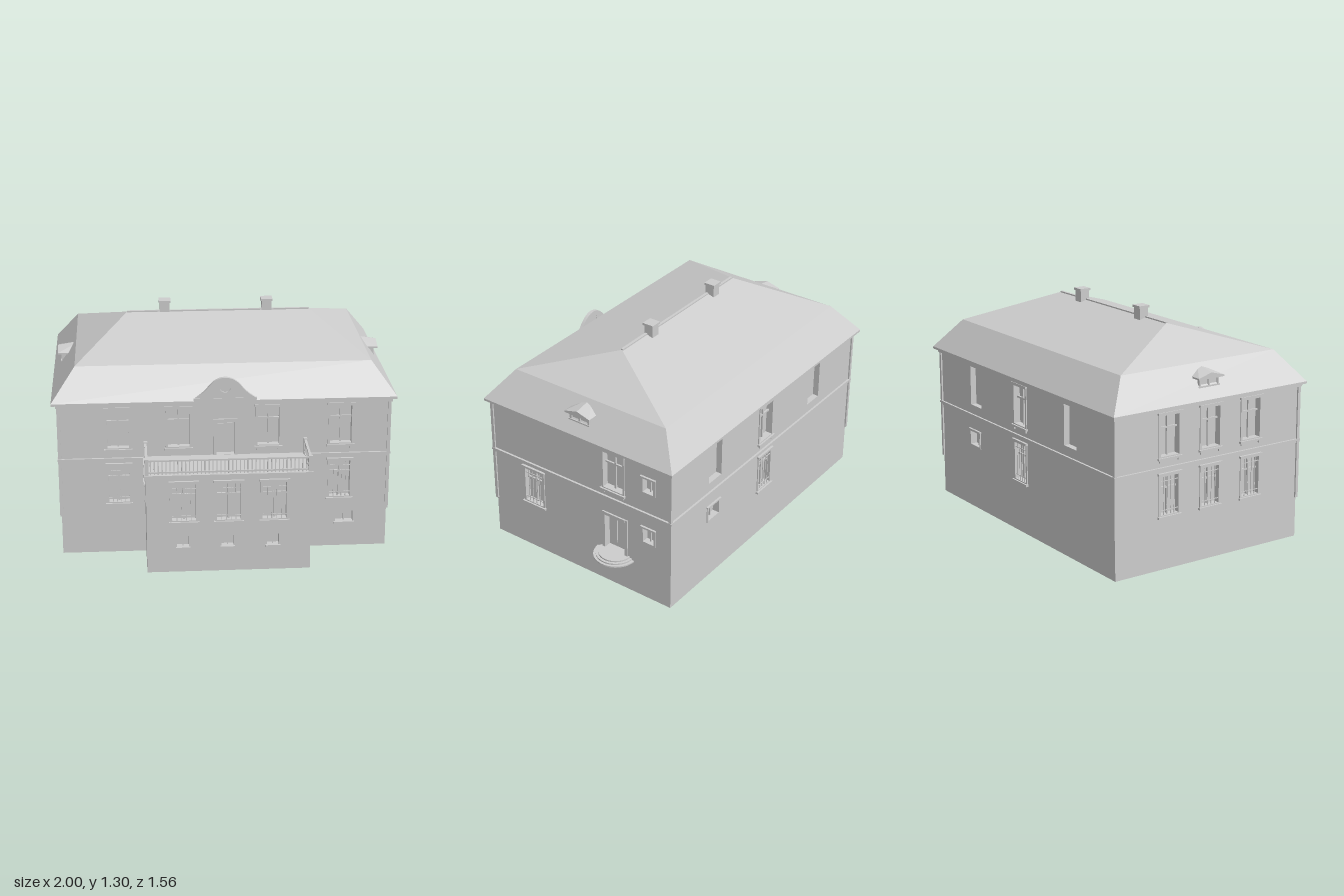
import * as THREE from 'three';
import { ConvexGeometry } from 'three/addons/geometries/ConvexGeometry.js';

const stone = new THREE.MeshStandardMaterial({ color: 0xcccccc });
stone.name = 'pale grey stone';

const W = { x0: -0.96, x1: 0.875, z0: -0.745, z1: 0.48 }; // main walls
const P = { x0: -0.49, x1: 0.41, z1: 0.765 };             // porch walls
const DEPTH = 0.035;                                      // wall thickness, recess depth

function add(parent, name, geometry) {
  const mesh = new THREE.Mesh(geometry, stone);
  mesh.name = name;
  parent.add(mesh);
  return mesh;
}

// Box given by its lower and upper limits on each axis
function box(parent, name, x0, x1, y0, y1, z0, z1) {
  const mesh = add(parent, name, new THREE.BoxGeometry(x1 - x0, y1 - y0, z1 - z0));
  mesh.position.set((x0 + x1) / 2, (y0 + y1) / 2, (z0 + z1) / 2);
  return mesh;
}

// Raised surround on a wall whose outer surface is z = 0
function surround(g, a, b, y0, y1, t, out) {
  box(g, 'frameLeft', a - t, a, y0 - t, y1 + t, -0.02, out);
  box(g, 'frameRight', b, b + t, y0 - t, y1 + t, -0.02, out);
  box(g, 'frameTop', a, b, y1, y1 + t, -0.02, out);
  box(g, 'frameBottom', a, b, y0 - t, y0, -0.02, out);
}

function bars(g, a, b, y0, y1, uprights, rails, t, z) {
  for (let i = 1; i <= uprights; i++) {
    const u = a + (b - a) * i / (uprights + 1);
    box(g, 'upright', u - t / 2, u + t / 2, y0, y1, z - t, z);
  }
  for (const f of rails) {
    const y = y0 + (y1 - y0) * f;
    box(g, 'crossbar', a, b, y - t / 2, y + t / 2, z - t, z);
  }
}

// Window, door or niche filling the opening centred on u
function fitting(wall, [type, u, y0, y1, w]) {
  const g = new THREE.Group();
  g.name = type;
  wall.add(g);
  const a = u - w / 2, b = u + w / 2;
  if (type === 'tallWindow' || type === 'barredWindow') {
    surround(g, a, b, y0, y1, 0.012, 0.006);
    box(g, 'lintel', a - 0.018, b + 0.018, y1 + 0.008, y1 + 0.02, -0.01, 0.014);
    box(g, 'sill', a - 0.018, b + 0.018, y0 - 0.018, y0 - 0.006, -0.01, 0.016);
    bars(g, a, b, y0, y1, 1, [0.68], 0.01, -0.018);
    if (type === 'barredWindow') bars(g, a, b, y0, y1, 4, [0.12, 0.88], 0.004, 0.002);
    else for (const s of [a, b])
      box(g, 'sillBracket', s - 0.008, s + 0.008, y0 - 0.032, y0 - 0.018, -0.01, 0.01);
  } else if (type === 'smallWindow') {
    surround(g, a, b, y0, y1, 0.01, 0.006);
    box(g, 'lintel', a - 0.015, b + 0.015, y1 + 0.008, y1 + 0.016, -0.01, 0.012);
    bars(g, a, b, y0, y1, 1, [], 0.007, -0.018);
  } else if (type === 'cellarWindow') {
    box(g, 'sill', a - 0.008, b + 0.008, y0 - 0.01, y0, -0.02, 0.014);
    bars(g, a, b, y0, y1, 1, [], 0.006, -0.015);
  } else if (type === 'door') {
    box(g, 'jambLeft', a - 0.018, a, y0, y1 + 0.018, -0.02, 0.008);
    box(g, 'jambRight', b, b + 0.018, y0, y1 + 0.018, -0.02, 0.008);
    box(g, 'doorHead', a, b, y1, y1 + 0.018, -0.02, 0.01);
    for (const s of [-1, 1])
      box(g, 'doorPanel', u + s * w / 4 - w * 0.17, u + s * w / 4 + w * 0.17,
        y0 + 0.03, y1 - 0.02, -DEPTH - 0.002, -0.028);
  }
}

// Wall slab with openings, built facing +z and then turned
function wall(model, name, a, b, top, pos, turn, openings) {
  const g = new THREE.Group();
  g.name = name;
  const shape = new THREE.Shape();
  shape.moveTo(a, 0).lineTo(b, 0).lineTo(b, top).lineTo(a, top).closePath();
  for (const [, u, y0, y1, w] of openings) {
    const hole = new THREE.Path();
    hole.moveTo(u - w / 2, y0).lineTo(u - w / 2, y1).lineTo(u + w / 2, y1).lineTo(u + w / 2, y0).closePath();
    shape.holes.push(hole);
  }
  const geo = new THREE.ExtrudeGeometry(shape, { depth: DEPTH, bevelEnabled: false });
  add(g, 'wallSlab', geo.translate(0, 0, -DEPTH));
  openings.forEach(o => fitting(g, o));
  g.position.set(...pos);
  g.rotation.y = turn;
  model.add(g);
}

// Surface through rectangular rings [x0, x1, z0, z1, y], flat shaded
function loft(rings) {
  const pts = rings.map(([a, b, c, d, y]) => [[a, y, d], [b, y, d], [b, y, c], [a, y, c]]);
  const v = [];
  const quad = (p, q, r, s) => v.push(...p, ...q, ...r, ...p, ...r, ...s);
  for (let i = 0; i + 1 < pts.length; i++)
    for (let k = 0; k < 4; k++) {
      const n = (k + 1) % 4;
      quad(pts[i][k], pts[i][n], pts[i + 1][n], pts[i + 1][k]);
    }
  const [p, q, r, s] = pts[0];
  quad(s, r, q, p);
  const geo = new THREE.BufferGeometry();
  geo.setAttribute('position', new THREE.Float32BufferAttribute(v, 3));
  geo.computeVertexNormals();
  return geo;
}

function balustrade(model) {
  const g = new THREE.Group();
  g.name = 'balconyRailing';
  const L = P.x0 + 0.005, R = P.x1 - 0.005, F = P.z1 - 0.012, B = W.z1, t = 0.003;
  for (const x of [L, R]) {
    for (const z of [F, B + 0.012])
      box(g, 'railingPost', x - 0.011, x + 0.011, 0.57, 0.667, z - 0.011, z + 0.011);
    for (const y of [0.584, 0.652])
      box(g, 'sideRail', x - 0.007, x + 0.007, y, y + 0.009, B, F);
    for (let i = 1; i < 13; i++) {
      const z = B + (F - B) * i / 13;
      box(g, 'baluster', x - t, x + t, 0.575, 0.655, z - t, z + t);
    }
  }
  for (const y of [0.584, 0.652]) box(g, 'frontRail', L, R, y, y + 0.009, F - 0.007, F + 0.007);
  for (let i = 1; i < 42; i++) {
    const x = L + (R - L) * i / 42;
    box(g, 'baluster', x - t, x + t, 0.575, 0.655, F - t, F + t);
  }
  model.add(g);
}

function dormer(model, turn) {
  const g = new THREE.Group();
  g.name = 'roofDormer';
  box(g, 'dormerBody', 0.78, 0.9, 0.955, 1.014, -0.06, 0.06);
  for (const z of [-0.06, 0, 0.06]) box(g, 'dormerPost', 0.89, 0.908, 0.96, 1.014, z - 0.006, z + 0.006);
  box(g, 'dormerSill', 0.88, 0.912, 0.96, 0.968, -0.07, 0.07);
  const pts = [];
  for (const [x, ridge] of [[0.928, 1.04], [0.8, 1.062]]) {
    for (const z of [-0.084, 0.084])
      pts.push(new THREE.Vector3(x, 1.008, z), new THREE.Vector3(x, 1.017, z));
    pts.push(new THREE.Vector3(x, ridge, 0));
  }
  add(g, 'dormerRoof', new ConvexGeometry(pts));
  g.position.set(-0.0425, 0, -0.135);
  g.rotation.y = turn;
  model.add(g);
}

export function createModel() {
  const model = new THREE.Group();
  model.name = 'villa';
  const d = DEPTH, H = 0.9, turn = Math.PI / 2;

  // Inner cores close the recesses
  box(model, 'houseCore', W.x0 + d, W.x1 - d, 0, H, W.z0 + d, W.z1 - d);
  box(model, 'porchCore', P.x0 + d, P.x1 - d, 0, 0.56, W.z1 - d, P.z1 - d);

  // Main walls
  wall(model, 'frontWall', W.x0, W.x1, H, [0, 0, W.z1], 0, [
    ...[-0.635, -0.3, 0.2, 0.605].map(x => ['tallWindow', x, 0.63, 0.85, 0.12]),
    ...[-0.635, 0.605].map(x => ['barredWindow', x, 0.307, 0.52, 0.115]),
    ['door', -0.04, 0.576, 0.77, 0.1], ['cellarWindow', 0.635, 0.15, 0.212, 0.1]]);
  wall(model, 'backWall', -W.x1, -W.x0, H, [0, 0, W.z0], Math.PI, [
    ['niche', -0.465, 0.625, 0.855, 0.12], ['niche', 0.54, 0.625, 0.855, 0.12],
    ['tallWindow', 0.03, 0.63, 0.85, 0.12], ['barredWindow', 0.03, 0.307, 0.52, 0.115],
    ['smallWindow', -0.48, 0.385, 0.465, 0.1]]);
  wall(model, 'leftWall', -W.z1, -W.z0, H, [W.x1, 0, 0], turn, [
    ['barredWindow', -0.195, 0.307, 0.52, 0.125], ['tallWindow', 0.365, 0.625, 0.85, 0.13],
    ['smallWindow', 0.6, 0.7, 0.785, 0.07], ['smallWindow', 0.6, 0.375, 0.46, 0.07],
    ['door', 0.375, 0.226, 0.445, 0.135]]);
  wall(model, 'rightWall', W.z0, W.z1, H, [W.x0, 0, 0], -turn, [-0.4, -0.13, 0.145].flatMap(z => [
    ['tallWindow', z, 0.63, 0.85, 0.12], ['barredWindow', z, 0.307, 0.52, 0.115]]));

  // Porch walls
  wall(model, 'porchFront', P.x0, P.x1, 0.56, [0, 0, P.z1], 0, [-0.285, -0.04, 0.21].flatMap(x => [
    ['barredWindow', x, 0.307, 0.52, 0.13], ['cellarWindow', x - 0.007, 0.15, 0.212, 0.065]]));
  wall(model, 'porchLeft', -P.z1, -W.z1, 0.56, [P.x1, 0, 0], turn, [['smallWindow', -0.585, 0.375, 0.458, 0.09]]);
  wall(model, 'porchRight', W.z1, P.z1, 0.56, [P.x0, 0, 0], -turn, [['smallWindow', 0.585, 0.375, 0.458, 0.09]]);
  box(model, 'balconyFloor', P.x0 - 0.01, P.x1 + 0.01, 0.547, 0.575, W.z1 - 0.02, P.z1 + 0.006);
  balustrade(model);

  // Belt course, cornice and corner strips
  for (const [name, y0, y1, o] of [['beltCourse', 0.547, 0.56, 0.006], ['beltCap', 0.56, 0.572, 0.012],
    ['cornice', 0.872, 0.892, 0.014]])
    box(model, name, W.x0 - o, W.x1 + o, y0, y1, W.z0 - o, W.z1 + o);
  for (const x of [W.x0, W.x1]) for (const z of [W.z0, W.z1])
    box(model, 'cornerStrip', x - 0.009, x + 0.009, 0.23, 0.88, z - 0.009, z + 0.009);

  // Two-pitch hipped roof with a thin eave
  add(model, 'roof', loft([[-0.998, 0.913, -0.778, 0.505, 0.89], [-0.998, 0.913, -0.778, 0.505, 0.903],
    [-0.865, 0.782, -0.643, 0.373, 1.075], [-0.567, 0.487, -0.135, -0.135, 1.233]]));
  box(model, 'ridgeCap', -0.567, 0.487, 1.222, 1.238, -0.143, -0.127);
  for (const x of [-0.35, 0.24]) {
    box(model, 'chimney', x - 0.028, x + 0.028, 1.17, 1.285, -0.178, -0.122);
    box(model, 'chimneyCap', x - 0.034, x + 0.034, 1.285, 1.298, -0.184, -0.116);
  }
  dormer(model, 0);
  dormer(model, Math.PI);

  // Curved front gable with a round window
  const arch = new THREE.Shape();
  arch.moveTo(-0.173, -0.012).lineTo(0.173, -0.012).lineTo(0.173, 0)
    .quadraticCurveTo(0.125, 0.025, 0.09, 0.07).quadraticCurveTo(0.05, 0.12, 0, 0.12)
    .quadraticCurveTo(-0.05, 0.12, -0.09, 0.07).quadraticCurveTo(-0.125, 0.025, -0.173, 0);
  arch.holes.push(new THREE.Path().absarc(0, 0.067, 0.032, 0, Math.PI * 2, true));
  const gable = add(model, 'frontGable', new THREE.ExtrudeGeometry(arch, { depth: 0.02, bevelEnabled: false }));
  gable.position.set(-0.042, 0.915, 0.485);
  const pane = add(model, 'roundWindow', new THREE.CylinderGeometry(0.034, 0.034, 0.008, 24));
  pane.rotation.x = Math.PI / 2;
  pane.position.set(-0.042, 0.982, 0.491);
  box(model, 'gableLedge', -0.217, 0.133, 0.905, 0.918, 0.475, 0.508);

  // Round steps at the side door
  [0.125, 0.111, 0.097].forEach((r, i) => {
    add(model, 'roundStep', new THREE.CylinderGeometry(r, r, 0.008, 40)).position.set(W.x1, 0.206 + i * 0.008, -0.375);
  });
  return model;
}
